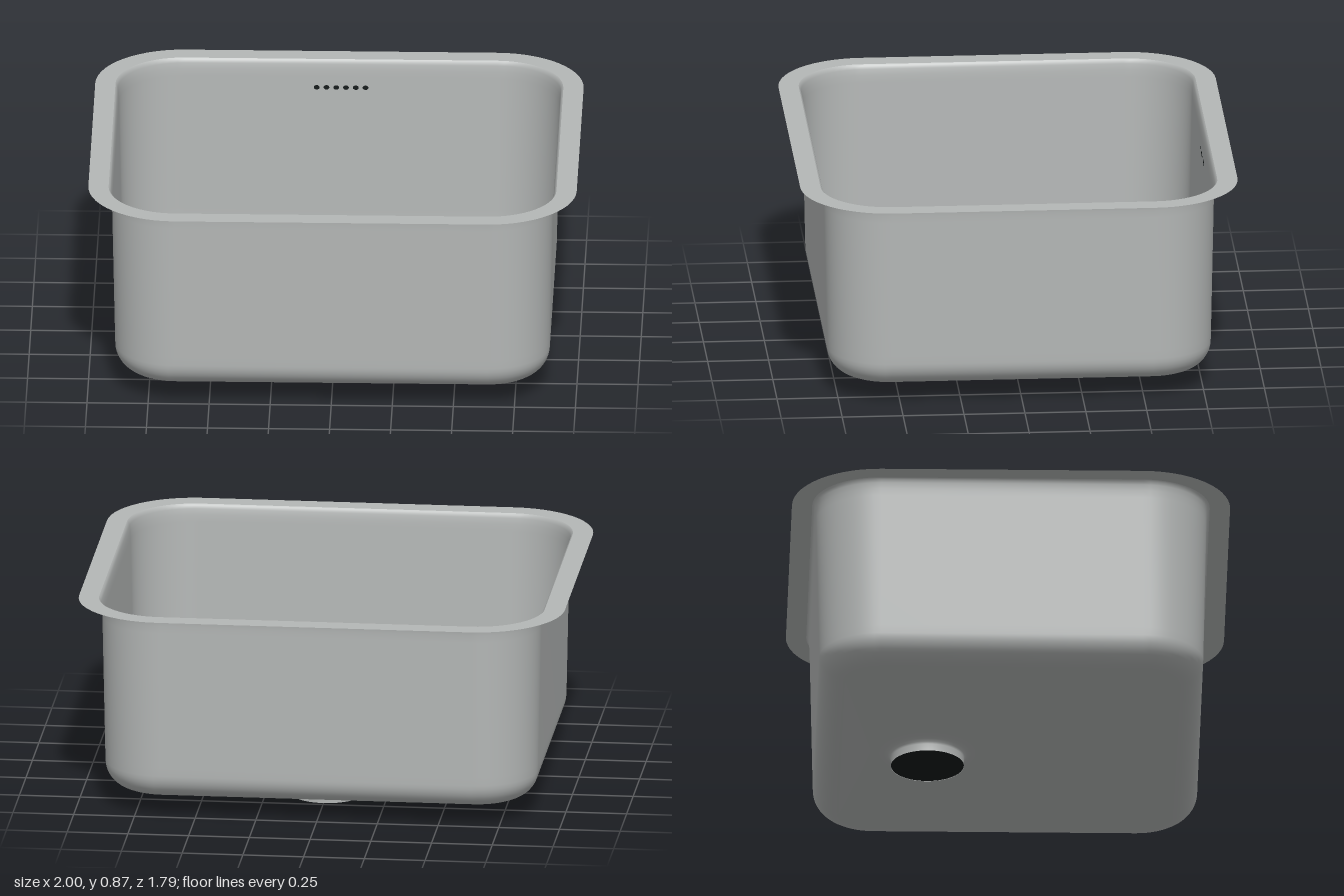
import * as THREE from 'three';

const steel = new THREE.MeshStandardMaterial({ color: 0xb4b7b6, side: THREE.DoubleSide });
steel.name = 'brushed steel';
const dark = new THREE.MeshStandardMaterial({ color: 0x141a1a, side: THREE.DoubleSide });
dark.name = 'dark opening';

const TOP = 0.874, AX = 0.64, AZ = 0.537, DRAIN_Z = -0.33;

// Rounded rectangle: corner centres at (+-ax, +-az) about z = cz, corner radius r
function loop(r, y, ax = AX, az = AZ, cz = 0, n = 14) {
  const pts = [];
  for (let c = 0; c < 4; c++) {
    const sx = c === 0 || c === 3 ? 1 : -1, sz = c < 2 ? 1 : -1;
    for (let i = 0; i <= n; i++) {
      const a = (c + i / n) * Math.PI / 2;
      pts.push([sx * ax + r * Math.cos(a), y, cz + sz * az + r * Math.sin(a)]);
    }
  }
  return pts;
}

// Skin a list of loops, from the outside inwards
function loft(loops) {
  const n = loops[0].length, index = [];
  for (let j = 0; j < loops.length - 1; j++) {
    for (let i = 0; i < n; i++) {
      const k = (i + 1) % n, a = j * n + i, b = j * n + k;
      index.push(a, a + n, b, b, a + n, b + n);
    }
  }
  const g = new THREE.BufferGeometry();
  g.setAttribute('position', new THREE.Float32BufferAttribute(loops.flat(2), 3));
  g.setIndex(index);
  g.computeVertexNormals();
  return g;
}

export function createModel() {
  const sink = new THREE.Group();
  sink.name = 'sink';
  const add = (name, geometry, material, x = 0, y = 0, z = 0) => {
    const m = new THREE.Mesh(geometry, material);
    m.name = name;
    m.position.set(x, y, z);
    sink.add(m);
    return m;
  };

  // Flat flange around the opening
  add('rim', loft([loop(0.36, TOP), loop(0.277, TOP)]), steel);

  // Rolled lip, tapering walls and rounded bottom edge
  const bowl = [loop(0.277, TOP), loop(0.271, 0.868), loop(0.267, 0.855), loop(0.264, 0.83),
    loop(0.263, 0.8), loop(0.251, 0.22)];
  for (let i = 0; i <= 10; i++) {
    const a = i / 10 * Math.PI / 2;
    bowl.push(loop(0.145 + 0.105 * Math.cos(a), 0.185 - 0.105 * Math.sin(a)));
  }
  // Floor, falling gently to the round drain
  for (const t of [0.04, 0.35, 0.7, 1]) {
    const mix = (a, b) => THREE.MathUtils.lerp(a, b, t);
    bowl.push(loop(mix(0.145, 0.235), mix(0.08, 0.06), mix(AX, 0), mix(AZ, 0), mix(0, DRAIN_Z)));
  }
  add('bowl', loft(bowl), steel);

  // Drain funnel and outlet collar
  const funnel = [[0.15, 0], [0.15, 0.03], [0.153, 0.04], [0.162, 0.049], [0.178, 0.055],
    [0.2, 0.058], [0.235, 0.06]].map(([x, y]) => new THREE.Vector2(x, y));
  add('drain', new THREE.LatheGeometry(funnel, 56), steel, 0, 0, DRAIN_Z);
  add('outletOpening', new THREE.CylinderGeometry(0.149, 0.149, 0.004, 48), dark, 0, 0.003, DRAIN_Z);

  // Perforated strainer plate with a centre screw
  const plate = new THREE.Shape().absarc(0, 0, 0.15, 0, Math.PI * 2);
  for (const [count, radius] of [[18, 0.107], [12, 0.073]]) {
    for (let i = 0; i < count; i++) {
      const a = (i + 0.5) / count * Math.PI * 2;
      plate.holes.push(new THREE.Path().absarc(
        radius * Math.cos(a), radius * Math.sin(a), 0.0105, 0, Math.PI * 2, true));
    }
  }
  const strainer = new THREE.ShapeGeometry(plate, 12).rotateX(-Math.PI / 2);
  add('strainer', strainer, steel, 0, 0.02, DRAIN_Z);
  add('strainerScrew', new THREE.CylinderGeometry(0.028, 0.028, 0.006, 24), steel, 0, 0.023, DRAIN_Z);

  // Row of overflow slots high on the back wall
  for (let i = 0; i < 6; i++) {
    const slot = add('overflowSlot', new THREE.CircleGeometry(0.01, 14), dark,
      (i - 2.5) * 0.04, 0.755, -0.7965);
    slot.scale.x = 1.2;
  }
  return sink;
}
